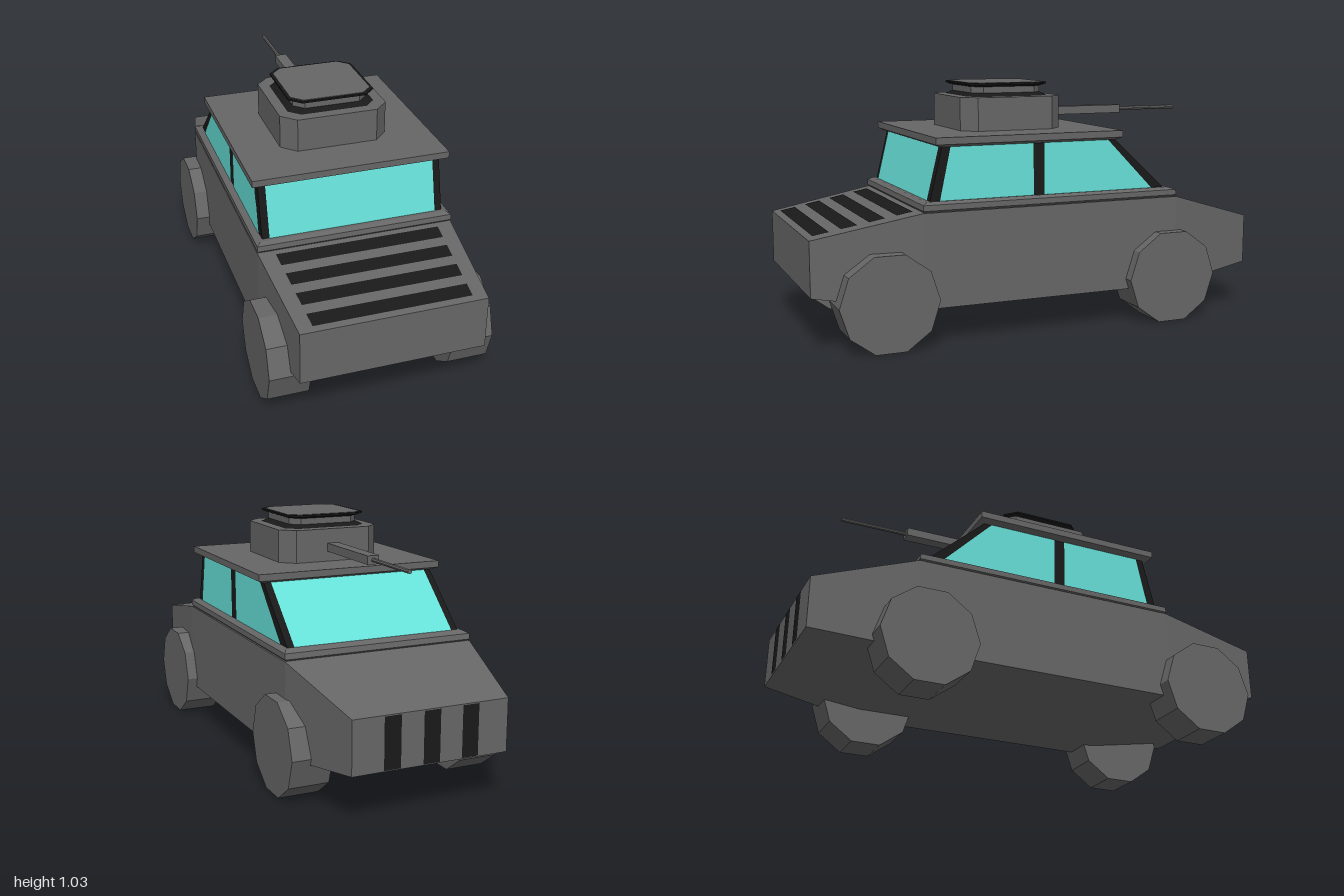
import * as THREE from 'three';

const mat = (color) => new THREE.MeshStandardMaterial({ color, flatShading: true });
const armour = mat(0x666666);
const dark = mat(0x191919);
const glass = mat(0x66e0d8);

// Skin a chain of equal rings (counter-clockwise seen from the last ring's side), closed at both ends
function loft(rings) {
  const n = rings[0].length;
  const pos = [];
  const tri = (a, b, c) => pos.push(...a, ...b, ...c);
  for (let r = 0; r < rings.length - 1; r++) {
    for (let i = 0; i < n; i++) {
      const j = (i + 1) % n, lo = rings[r], hi = rings[r + 1];
      tri(lo[i], lo[j], hi[j]);
      tri(lo[i], hi[j], hi[i]);
    }
  }
  const first = rings[0], last = rings[rings.length - 1];
  for (let i = 1; i < n - 1; i++) {
    tri(first[0], first[i + 1], first[i]);
    tri(last[0], last[i], last[i + 1]);
  }
  const geo = new THREE.BufferGeometry();
  geo.setAttribute('position', new THREE.Float32BufferAttribute(pos, 3));
  geo.computeVertexNormals();
  return geo;
}

// Horizontal rectangle at height y
const rect = (y, hw, zBack, zFront) =>
  [[hw, y, zFront], [hw, y, zBack], [-hw, y, zBack], [-hw, y, zFront]];

// Upright rectangle at depth z
const section = (z, hw, y0, y1) => [[hw, y0, z], [hw, y1, z], [-hw, y1, z], [-hw, y0, z]];

// Horizontal rectangle with cut corners
const octagon = (y, hx, hz, c) => [
  [hx, y, hz - c], [hx, y, c - hz], [hx - c, y, -hz], [c - hx, y, -hz],
  [-hx, y, c - hz], [-hx, y, hz - c], [c - hx, y, hz], [hx - c, y, hz],
];

// Thin flat panel from four corners
function panel(corners) {
  const [a, b, c, d] = corners;
  const geo = new THREE.BufferGeometry();
  geo.setAttribute('position', new THREE.Float32BufferAttribute([...a, ...b, ...c, ...a, ...c, ...d], 3));
  geo.computeVertexNormals();
  return geo;
}

export function createModel() {
  const model = new THREE.Group();
  const hull = new THREE.Group();
  hull.name = 'hull';
  hull.position.x = 0.007;
  model.add(hull);

  const add = (name, geo, material, parent = hull) => {
    const mesh = new THREE.Mesh(geo, material);
    mesh.name = name;
    parent.add(mesh);
    return mesh;
  };

  // Lower body, tapering toward both ends
  add('body', loft([
    section(-1, 0.33, 0.2, 0.415),
    section(-0.59, 0.4125, 0.15, 0.537),
    section(0.555, 0.4125, 0.15, 0.537),
    section(1, 0.378, 0.23, 0.455),
  ]), armour);

  // Bevelled sill around the cabin base, and the overhanging roof
  add('sill', loft([
    rect(0.537, 0.405, -0.58, 0.548),
    rect(0.545, 0.4125, -0.59, 0.555),
    rect(0.568, 0.4125, -0.585, 0.553),
    rect(0.578, 0.395, -0.555, 0.535),
  ]), armour);
  add('roof', loft([
    rect(0.792, 0.385, -0.3, 0.475),
    rect(0.804, 0.4125, -0.325, 0.5),
    rect(0.832, 0.4125, -0.325, 0.5),
  ]), armour);

  // Cabin frame (dark pillars) with window panes lying on it
  const yLow = 0.576, yHigh = 0.795, hw = 0.383;
  const frontLow = 0.518, frontHigh = 0.465, backLow = -0.54, backHigh = -0.3;
  add('cabinFrame', loft([rect(yLow, hw, backLow, frontLow), rect(yHigh, hw, backHigh, frontHigh)]), dark);

  const pw = 0.353, e = 0.003;
  add('frontWindow', panel([
    [-pw, yLow, frontLow + e], [pw, yLow, frontLow + e],
    [pw, yHigh, frontHigh + e], [-pw, yHigh, frontHigh + e],
  ]), glass);
  add('rearWindow', panel([
    [pw, yLow, backLow - e], [-pw, yLow, backLow - e],
    [-pw, yHigh, backHigh - e], [pw, yHigh, backHigh - e],
  ]), glass);

  // Side windows: [front low, back low, back high, front high]
  const sidePanes = [[0.477, 0.07, 0.073, 0.43], [0.022, -0.482, -0.266, 0.025]];
  for (const side of [1, -1]) {
    for (const [fl, bl, bh, fh] of sidePanes) {
      const x = side * (hw + e);
      const corners = [[x, yLow, fl], [x, yLow, bl], [x, yHigh, bh], [x, yHigh, fh]];
      add('sideWindow', panel(side > 0 ? corners : corners.reverse()), glass);
    }
  }

  // Dark slats across the sloping hood
  const hoodY = (z) => 0.537 - (z - 0.555) * 0.1843 + 0.003;
  const slatWidth = (z) => 0.345 - (z - 0.57) * 0.06;
  for (let i = 0; i < 4; i++) {
    const z0 = 0.577 + i * 0.111, z1 = z0 + 0.064;
    add('hoodSlat', panel([
      [-slatWidth(z1), hoodY(z1), z1], [slatWidth(z1), hoodY(z1), z1],
      [slatWidth(z0), hoodY(z0), z0], [-slatWidth(z0), hoodY(z0), z0],
    ]), dark);
  }

  // Three upright slots in the rear plate
  for (const x of [-0.165, 0, 0.165]) {
    add('rearSlot', panel([
      [x + 0.035, 0.204, -1.002], [x - 0.035, 0.204, -1.002],
      [x - 0.035, 0.411, -1.002], [x + 0.035, 0.411, -1.002],
    ]), dark);
  }

  // Turret with a necked hatch on top
  const turret = new THREE.Group();
  turret.name = 'turret';
  turret.position.z = 0.085;
  hull.add(turret);
  add('turretBody', loft([octagon(0.83, 0.2275, 0.225, 0.058), octagon(0.971, 0.2275, 0.225, 0.058)]), armour, turret);
  add('hatchCollar', loft([octagon(0.971, 0.185, 0.18, 0.045), octagon(0.985, 0.158, 0.157, 0.04)]), dark, turret);
  add('hatchNeck', loft([octagon(0.98, 0.157, 0.156, 0.04), octagon(1.013, 0.157, 0.156, 0.04)]), armour, turret);
  add('hatchRim', loft([octagon(1.011, 0.157, 0.156, 0.04), octagon(1.02, 0.182, 0.182, 0.047),
    octagon(1.027, 0.182, 0.182, 0.047)]), dark, turret);
  add('hatchLid', loft([octagon(1.025, 0.17, 0.17, 0.043), octagon(1.029, 0.17, 0.17, 0.043)]), armour, turret);

  // Gun pointing backward
  add('gunSleeve', new THREE.BoxGeometry(0.052, 0.036, 0.4), armour).position.set(0, 0.892, -0.315);
  const barrel = new THREE.CylinderGeometry(0.009, 0.009, 0.31, 8).rotateX(Math.PI / 2);
  add('gunBarrel', barrel, armour).position.set(0, 0.892, -0.655);

  // Ten-sided wheels
  const wheel = new THREE.CylinderGeometry(0.204, 0.204, 0.17, 10).rotateZ(Math.PI / 2);
  for (const x of [-0.38, 0.38]) {
    for (const z of [0.705, -0.553]) add('wheel', wheel, armour, model).position.set(x, 0.195, z);
  }

  return model;
}
